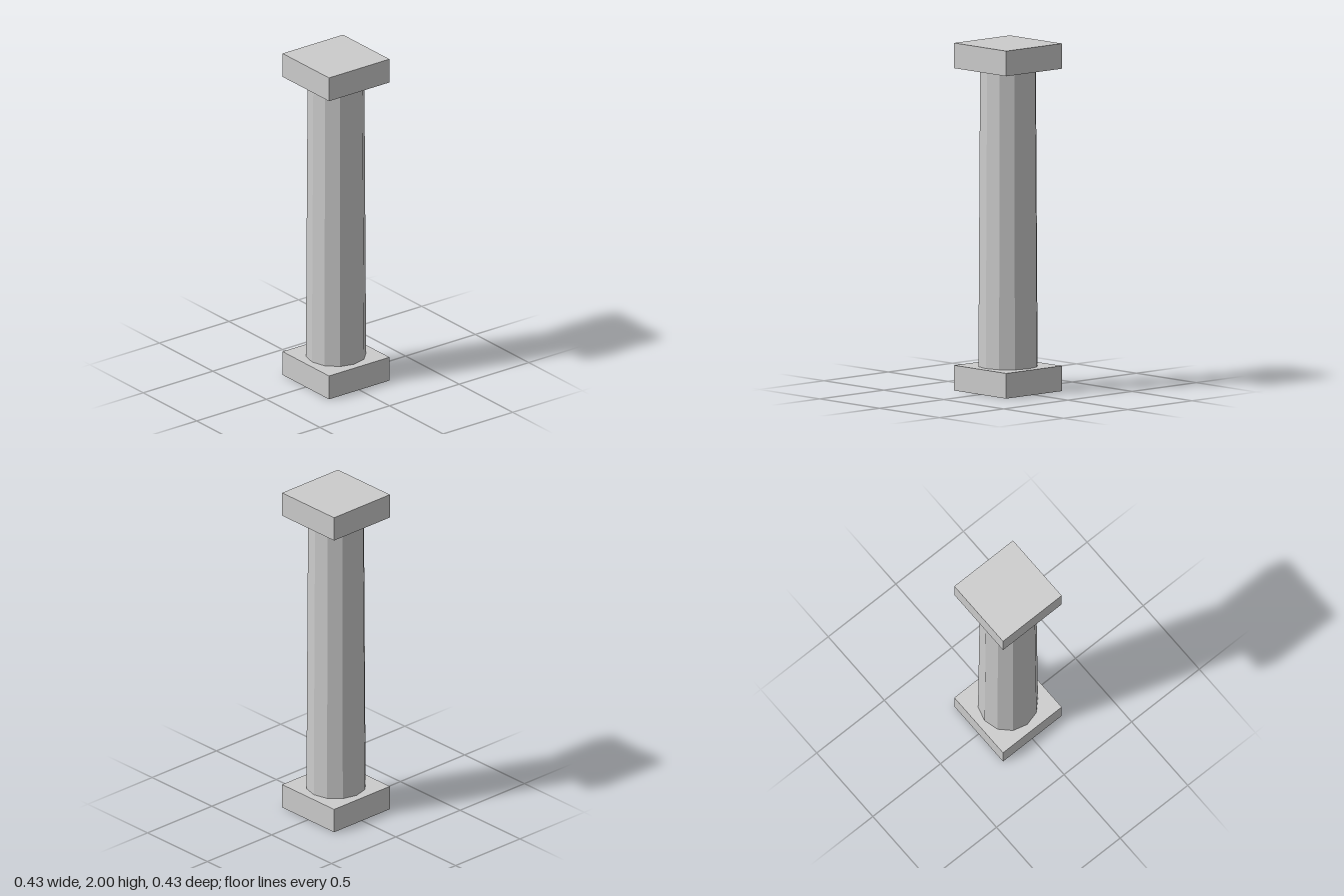
import * as THREE from 'three';

export function createModel() {
  const group = new THREE.Group();
  const stone = new THREE.MeshStandardMaterial({ color: 0xcccccc });
  stone.name = 'stone';

  const SLAB_WIDTH = 0.434;
  const SLAB_HEIGHT = 0.145;
  const HEIGHT = 2;

  function add(name, geometry, y) {
    const mesh = new THREE.Mesh(geometry, stone);
    mesh.name = name;
    mesh.position.y = y;
    group.add(mesh);
  }

  // Square slabs at the foot and head
  const slab = new THREE.BoxGeometry(SLAB_WIDTH, SLAB_HEIGHT, SLAB_WIDTH);
  add('base', slab, SLAB_HEIGHT / 2);
  add('capital', slab, HEIGHT - SLAB_HEIGHT / 2);

  // Twelve-sided shaft, slightly tapered, with faceted sides
  const shaft = new THREE.CylinderGeometry(0.163, 0.173, HEIGHT - 2 * SLAB_HEIGHT, 12, 1, true).toNonIndexed();
  shaft.computeVertexNormals();
  add('shaft', shaft, HEIGHT / 2);

  return group;
}
